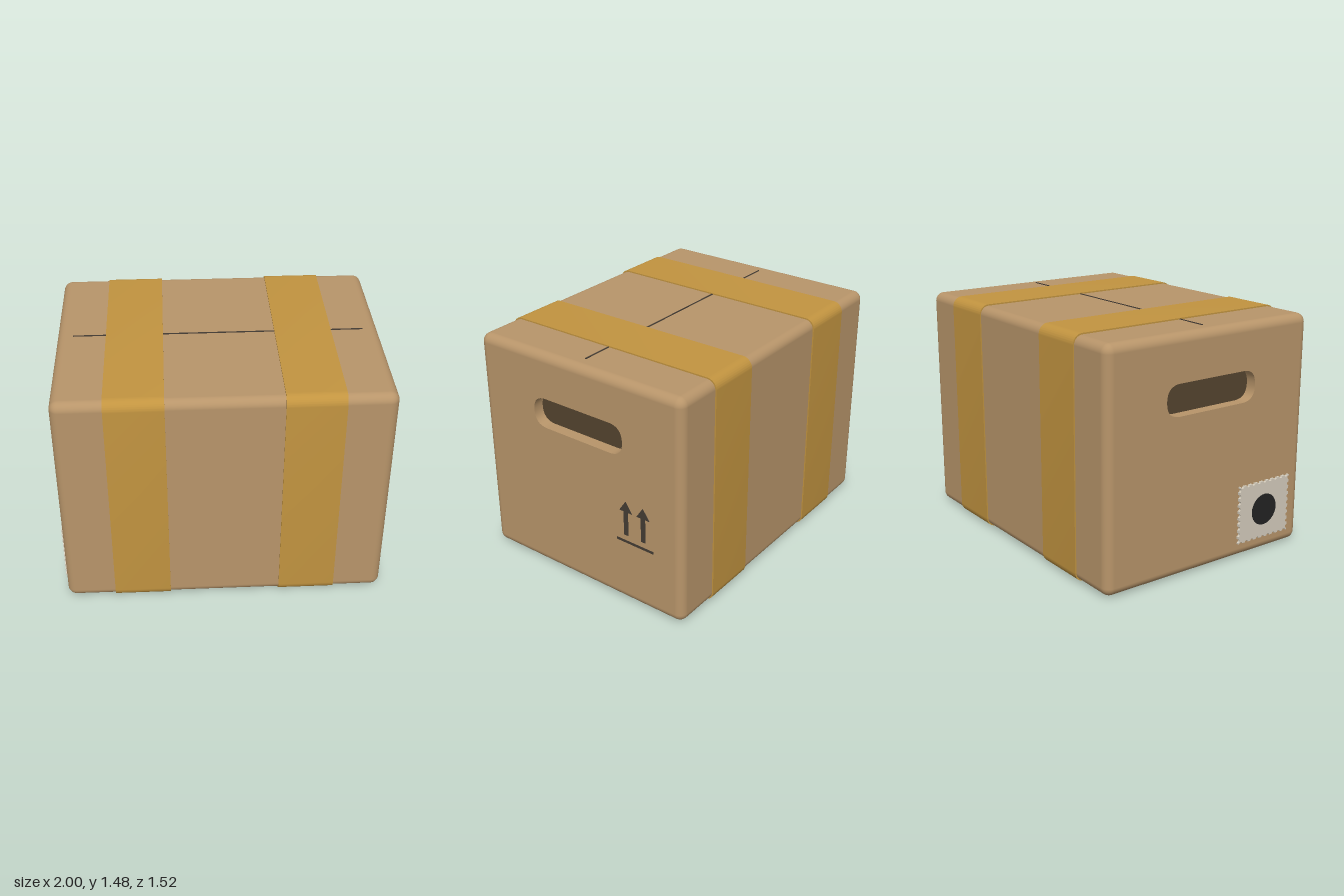
import * as THREE from 'three';
import { toCreasedNormals } from 'three/addons/utils/BufferGeometryUtils.js';

const CX = 0.0075, CY = 0.7415;            // centre of the carton
const HX = 0.99, HY = 0.733, HZ = 0.75;    // half sizes
const R = 0.055;                           // edge radius
const SLOT_DEPTH = 0.07;

const mat = (color) => new THREE.MeshStandardMaterial({ color });
const card = mat(0xb8956a), tape = mat(0xc29440), dark = mat(0x54442f);
const ink = mat(0x443c34), paper = mat(0xd4ccbc), black = mat(0x222222);

function add(parent, name, geometry, material, x = 0, y = 0, z = 0) {
  const mesh = new THREE.Mesh(geometry, material);
  mesh.name = name;
  mesh.position.set(x, y, z);
  parent.add(mesh);
  return mesh;
}

function extrude(shape, depth, curveSegments = 8) {
  const g = new THREE.ExtrudeGeometry(shape, { depth, bevelEnabled: false, curveSegments });
  return toCreasedNormals(g, 0.6);
}

// Rectangle with corners rounded by quadratic curves
function softRect(w, h, r, cy = 0, Type = THREE.Shape) {
  const s = new Type(), x = w / 2, y = h / 2;
  s.moveTo(-x + r, cy - y);
  s.lineTo(x - r, cy - y);
  s.quadraticCurveTo(x, cy - y, x, cy - y + r);
  s.lineTo(x, cy + y - r);
  s.quadraticCurveTo(x, cy + y, x - r, cy + y);
  s.lineTo(-x + r, cy + y);
  s.quadraticCurveTo(-x, cy + y, -x, cy + y - r);
  s.lineTo(-x, cy - y + r);
  s.quadraticCurveTo(-x, cy - y, -x + r, cy - y);
  return s;
}

// Rectangle with corners rounded by arcs
function roundRect(w, h, r, Type = THREE.Shape) {
  const s = new Type(), x = w / 2 - r, y = h / 2 - r;
  [[x, -y, -1], [x, y, 0], [-x, y, 1], [-x, -y, 2]].forEach(([cx, cy, q]) =>
    s.absarc(cx, cy, r, q * Math.PI / 2, (q + 1) * Math.PI / 2, false));
  s.closePath();
  return s;
}

// Carton walls with rounded edges, open where the end panels sit
function shellGeometry() {
  const N = 8, pos = [], nor = [], idx = [], ring = 4 * (N + 1);
  const signs = [[1, 1], [-1, 1], [-1, -1], [1, -1]];
  const rows = 2 * (N + 1);
  for (let i = 0; i < rows; i++) {
    const side = i <= N ? -1 : 1;
    const phi = (i <= N ? i / N - 1 : (i - N - 1) / N) * Math.PI / 2;
    for (let q = 0; q < 4; q++) for (let k = 0; k <= N; k++) {
      const t = (q + k / N) * Math.PI / 2;
      const n = [Math.sin(phi), Math.cos(phi) * Math.cos(t), Math.cos(phi) * Math.sin(t)];
      nor.push(...n);
      pos.push(side * (HX - R) + R * n[0],
        signs[q][0] * (HY - R) + R * n[1], signs[q][1] * (HZ - R) + R * n[2]);
    }
  }
  for (let i = 0; i < rows - 1; i++) for (let j = 0; j < ring; j++) {
    const a = i * ring + j, b = i * ring + (j + 1) % ring;
    idx.push(a, b, b + ring, a, b + ring, a + ring);
  }
  const g = new THREE.BufferGeometry();
  g.setAttribute('position', new THREE.Float32BufferAttribute(pos, 3));
  g.setAttribute('normal', new THREE.Float32BufferAttribute(nor, 3));
  g.setIndex(idx);
  return g;
}

// Stamp outline with a row of round notches along each edge
function stampShape(w, h, n, r) {
  const s = new THREE.Shape();
  const corners = [[-w / 2, -h / 2], [w / 2, -h / 2], [w / 2, h / 2], [-w / 2, h / 2]];
  s.moveTo(...corners[0]);
  corners.forEach(([x, y], i) => {
    const [x2, y2] = corners[(i + 1) % 4], a = i * Math.PI / 2;
    for (let k = 0; k < n; k++) {
      const t = (k + 0.5) / n;
      s.absarc(x + (x2 - x) * t, y + (y2 - y) * t, r, a + Math.PI, a, true);
    }
    s.lineTo(x2, y2);
  });
  return s;
}

// End panel with a recessed hand hole; local +z points outward
function endPanel(name, side) {
  const end = new THREE.Group();
  end.name = name;
  end.rotation.y = side * Math.PI / 2;
  end.position.set(CX + side * HX, 0, 0);
  const w = HZ - R, h = HY - R;
  const panel = new THREE.Shape([[-w, -h], [w, -h], [w, h], [-w, h]]
    .map(([x, y]) => new THREE.Vector2(x, CY + y)));
  panel.holes.push(softRect(0.667, 0.193, 0.0955, 1.092, THREE.Path));
  add(end, 'endPanel', extrude(panel, SLOT_DEPTH), card, 0, 0, -SLOT_DEPTH);
  add(end, 'handHoleBack', new THREE.ShapeGeometry(softRect(0.667, 0.193, 0.0955, 1.092), 8),
    dark, 0, 0, -SLOT_DEPTH);
  return end;
}

export function createModel() {
  const model = new THREE.Group();
  model.name = 'cardboardBox';

  add(model, 'boxWalls', shellGeometry(), card, CX, CY, 0);
  add(model, 'lidSeam', new THREE.BoxGeometry(1.78, 0.01, 0.008), ink, CX, CY + HY - 0.001, 0);

  // Two tape bands around the box
  for (const side of [-1, 1]) {
    const band = roundRect(1.516, 1.483, 0.063);
    band.holes.push(roundRect(2 * HZ - 0.002, 2 * HY - 0.002, R, THREE.Path));
    const g = extrude(band, 0.348);
    g.translate(0, 0, -0.174);
    g.rotateY(Math.PI / 2);
    add(model, side > 0 ? 'leftTape' : 'rightTape', g, tape, CX + side * 0.516, CY, 0);
  }

  const left = endPanel('leftEnd', 1), right = endPanel('rightEnd', -1);
  model.add(left, right);

  // "This way up" arrows over a bar
  const arrow = new THREE.Shape([[-0.016, 0.48], [0.016, 0.48], [0.016, 0.64], [0.047, 0.64],
    [0, 0.71], [-0.047, 0.64], [-0.016, 0.64]].map((p) => new THREE.Vector2(...p)));
  for (const u of [0.347, 0.473]) add(left, 'upArrow', extrude(arrow, 0.0025), ink, u, 0, 0);
  add(left, 'arrowBar', new THREE.BoxGeometry(0.27, 0.016, 0.005), ink, 0.41, 0.435, 0);

  // Perforated stamp with a round mark
  add(right, 'stamp', extrude(stampShape(0.41, 0.37, 9, 0.012), 0.0155, 5), paper, 0.435, 0.285, 0);
  const mark = new THREE.CylinderGeometry(0.1, 0.1, 0.004, 32).rotateX(Math.PI / 2);
  add(right, 'stampMark', mark, black, 0.435, 0.285, 0.0155);

  return model;
}
